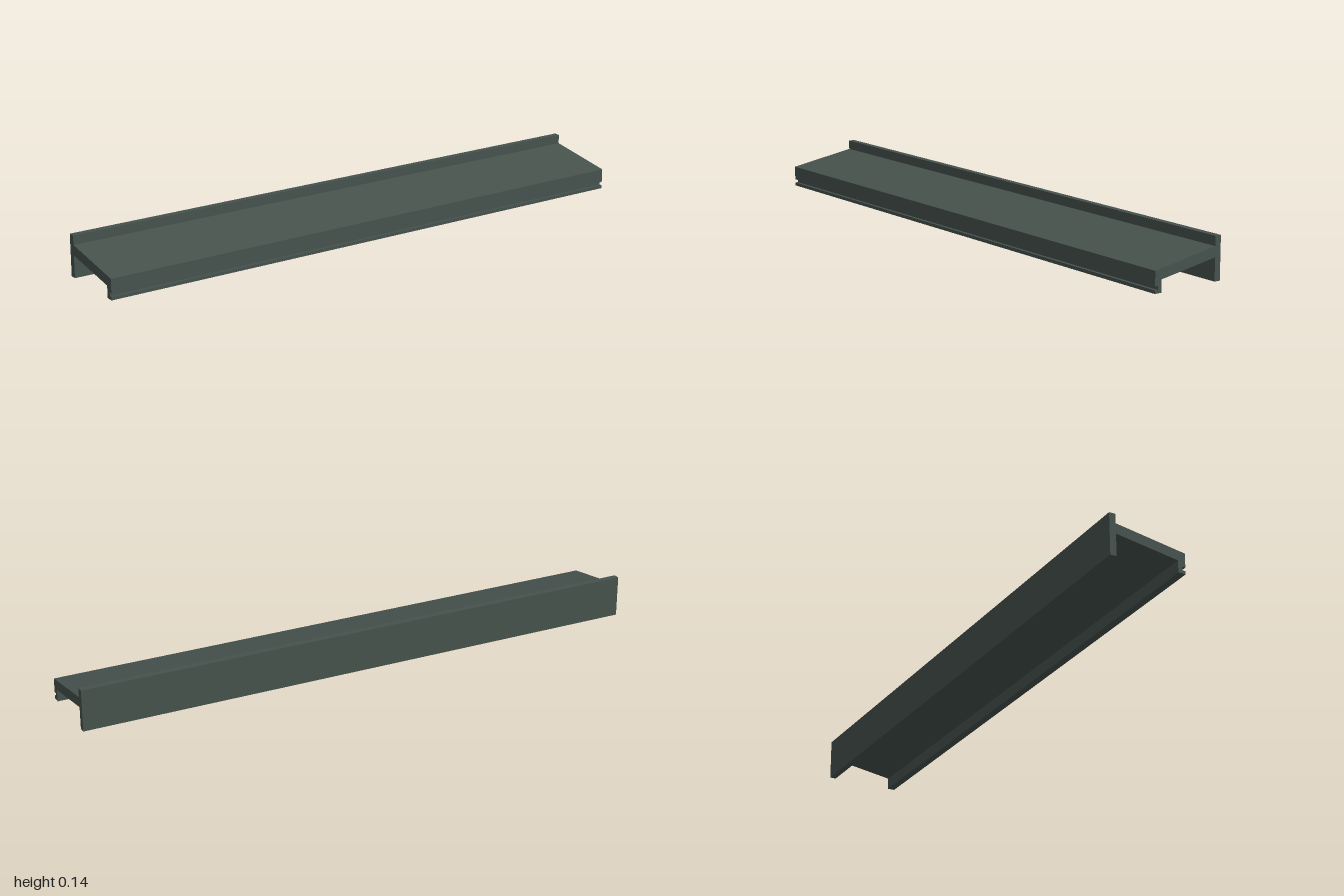
import * as THREE from 'three';

export function createModel() {
  const group = new THREE.Group();
  const length = 2;

  const darkGreyGreen = new THREE.MeshStandardMaterial({ color: 0x46524d });
  darkGreyGreen.name = 'dark grey green';

  // Cross-section as [z, y], counter-clockwise
  const profile = [
    // rear flange
    [-0.132, 0], [-0.11, 0], [-0.11, 0.076],
    // underside of the sloping web, then inside of the front flange
    [0.107, 0.041], [0.107, 0],
    // front lip and groove
    [0.133, 0], [0.133, 0.011], [0.122, 0.011], [0.122, 0.023], [0.133, 0.023],
    // front edge, sloping top and rear upstand
    [0.133, 0.071], [-0.11, 0.111], [-0.11, 0.143], [-0.132, 0.143],
  ];
  const shape = new THREE.Shape(profile.map(([z, y]) => new THREE.Vector2(z, y)));

  // Extrude along the length, then turn so the profile lies in the zy plane
  const geometry = new THREE.ExtrudeGeometry(shape, { depth: length, bevelEnabled: false });
  geometry.translate(0, 0, -length / 2);
  geometry.rotateY(-Math.PI / 2);

  const rail = new THREE.Mesh(geometry, darkGreyGreen);
  rail.name = 'slopedRailProfile';
  group.add(rail);
  return group;
}
